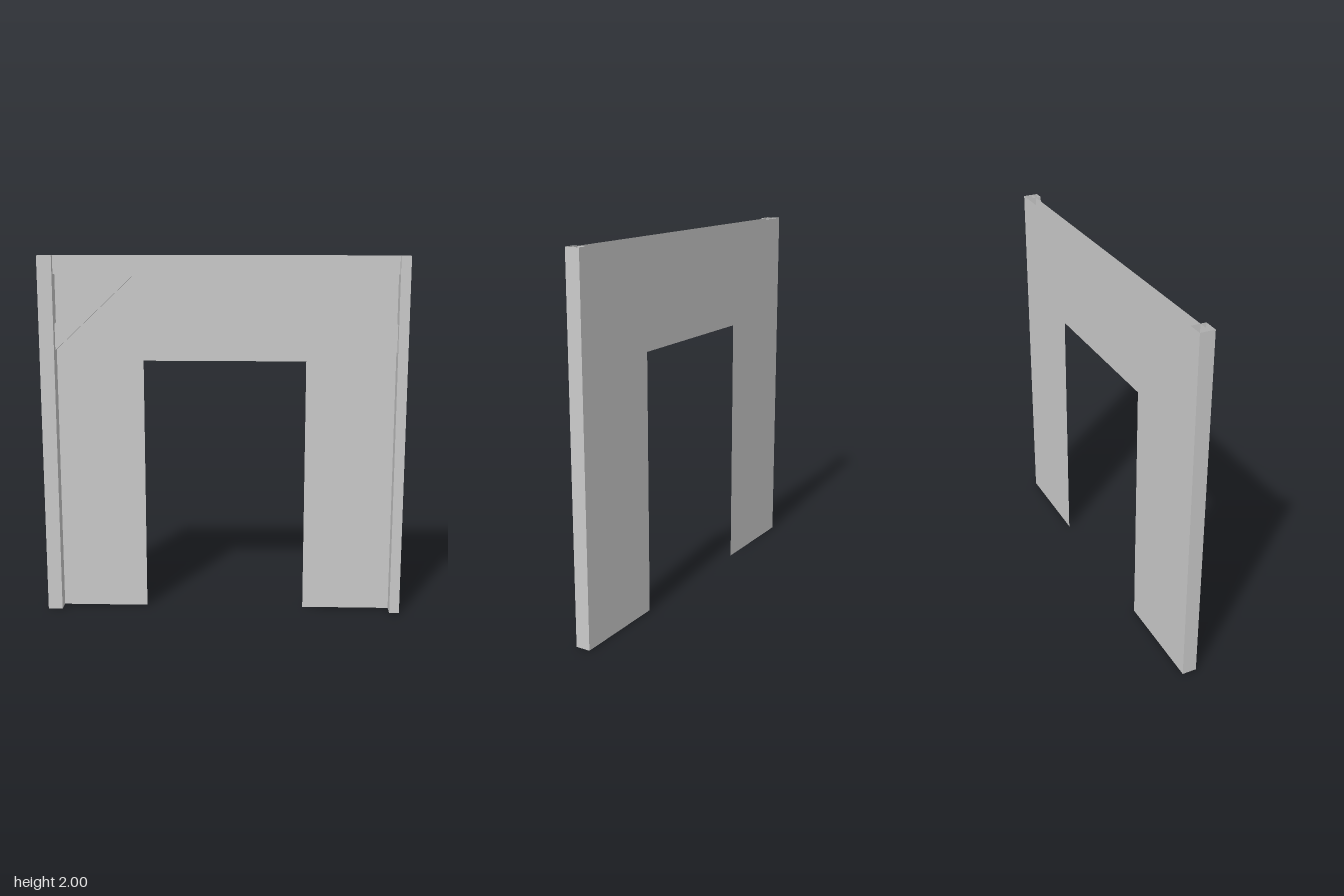
import * as THREE from 'three';

const BACK = -0.04;
const material = new THREE.MeshStandardMaterial({ color: 0xcccccc, side: THREE.DoubleSide });

// Folded sheet: flat panels joining two matching open cross-sections.
function foldedSheet(name, start, end) {
  const positions = [];
  for (let i = 0; i < start.length - 1; i++) {
    const [a, b, c, d] = [start[i], start[i + 1], end[i + 1], end[i]];
    positions.push(...a, ...b, ...c, ...a, ...c, ...d);
  }
  const geometry = new THREE.BufferGeometry();
  geometry.setAttribute('position', new THREE.Float32BufferAttribute(positions, 3));
  geometry.computeVertexNormals();
  const mesh = new THREE.Mesh(geometry, material);
  mesh.name = name;
  return mesh;
}

// Hollow post, open at both ends and closed behind by the wall.
function post(name, x0, x1) {
  const section = (y) => [[x0, y, BACK], [x0, y, 0.04], [x1, y, 0.04], [x1, y, BACK]];
  return foldedSheet(name, section(0), section(2));
}

// Diagonal brace: front and two edges, its ends tucked into post and beam.
// side is -1 or 1; upper and lower give [x at beam underside, y at post face].
function brace(name, side, postX, upper, lower) {
  const tuck = 0.042;
  const along = ([beamX, postY], x) => postY + (x - postX) * (1.9 - postY) / (beamX - postX);
  const atPost = (edge) => [postX + side * tuck, along(edge, postX + side * tuck)];
  const atBeam = (edge) => {
    const slope = (1.9 - edge[1]) / (edge[0] - postX);
    return [edge[0] + tuck / slope, 1.9 + tuck];
  };
  const section = (point) => {
    const u = point(upper), l = point(lower);
    return [[...u, BACK], [...u, 0], [...l, 0], [...l, BACK]];
  };
  return side < 0
    ? foldedSheet(name, section(atPost), section(atBeam))
    : foldedSheet(name, section(atBeam), section(atPost));
}

export function createModel() {
  const group = new THREE.Group();
  group.name = 'doorwayWall';

  // Thin wall with the doorway cut out
  const outline = new THREE.Shape([
    [-1, 0], [-0.44, 0], [-0.44, 1.425], [0.455, 1.425],
    [0.455, 0], [1, 0], [1, 2], [-1, 2],
  ].map(([x, y]) => new THREE.Vector2(x, y)));
  const wall = new THREE.Mesh(new THREE.ShapeGeometry(outline), material);
  wall.name = 'wall';
  wall.position.z = BACK;
  group.add(wall);

  // Side posts
  group.add(post('rightPost', -1, -0.92), post('leftPost', 0.945, 1));

  // Top beam: front and underside, open above
  const beamSection = (x) => [[x, 2, 0.01], [x, 1.9, 0.01], [x, 1.9, BACK]];
  group.add(foldedSheet('topBeam', beamSection(-1), beamSection(1)));

  // Corner braces
  group.add(
    brace('rightBrace', -1, -0.92, [-0.63, 1.63], [-0.48, 1.485]),
    brace('leftBrace', 1, 0.945, [0.65, 1.63], [0.495, 1.48]),
  );
  return group;
}
